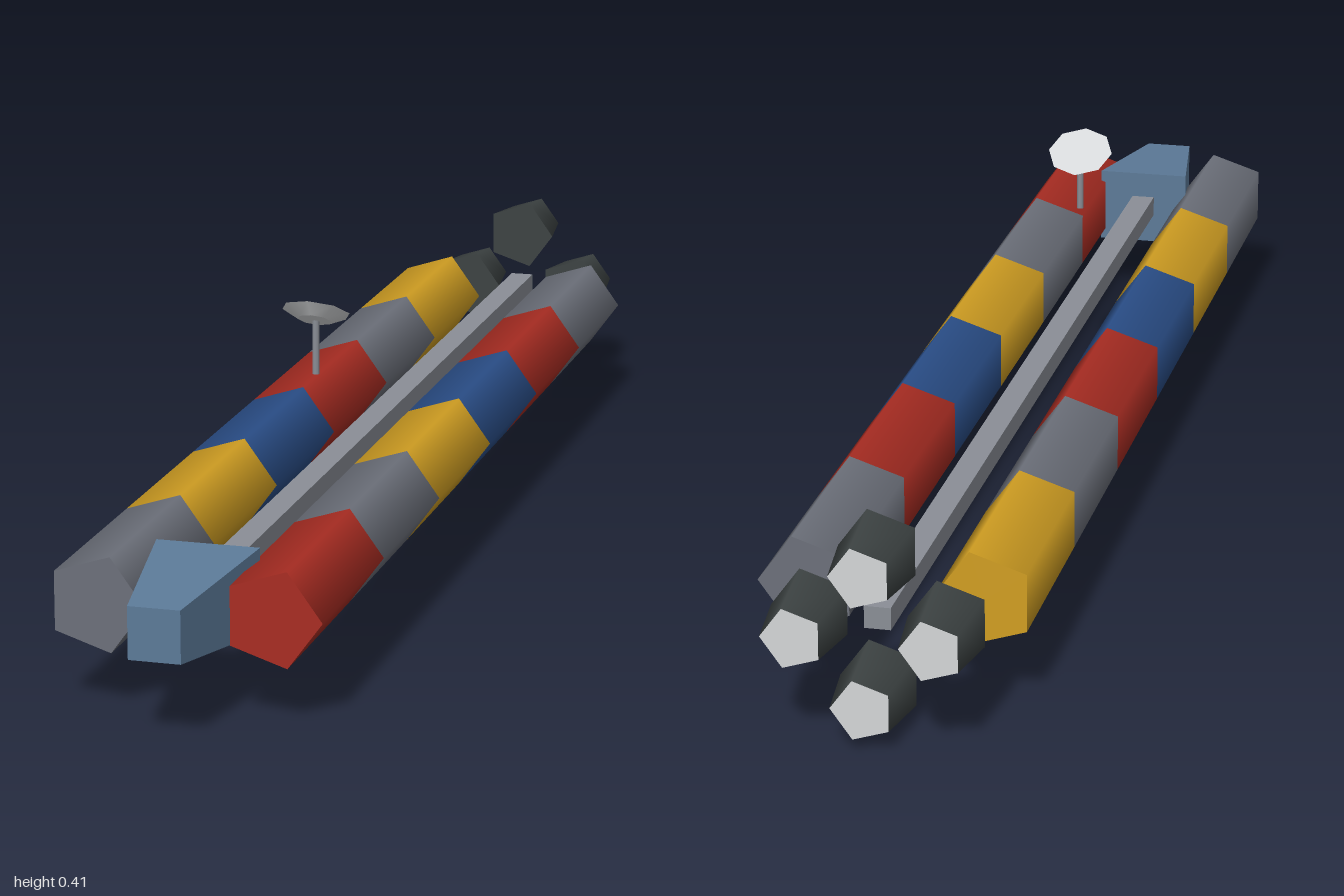
import * as THREE from 'three';

const mat = (name, color) => {
  const m = new THREE.MeshStandardMaterial({ color });
  m.name = name;
  return m;
};

export function createModel() {
  const ship = new THREE.Group();
  ship.name = 'cargoShip';
  const grey = mat('containerGrey', 0x6c707a);
  const red = mat('containerRed', 0xa82c22);
  const yellow = mat('containerYellow', 0xd09e22);
  const blue = mat('containerBlue', 0x2a4e88);
  const hull = mat('cockpitBlue', 0x5c7a98);
  const steel = mat('spineSteel', 0x8a8e96);
  const dark = mat('engineDark', 0x3c4242);
  const pale = mat('paleGrey', 0xd4d6d8);

  const CX = -0.0075, CY = 0.143; // ship axis

  const add = (name, geo, material, x, y, z) => {
    const mesh = new THREE.Mesh(geo, material);
    mesh.name = name;
    mesh.position.set(x, y, z);
    ship.add(mesh);
    return mesh;
  };

  // five-sided prism along z with one corner towards +x
  const prism = (rFront, rBack, length) =>
    new THREE.CylinderGeometry(rFront, rBack, length, 5, 1, false, Math.PI / 2).rotateX(Math.PI / 2);

  // two rows of cargo containers, listed from back to front
  const rows = [
    ['rightContainer', -0.124, [yellow, grey, red, blue, yellow, grey]],
    ['leftContainer', 0.109, [grey, red, blue, yellow, grey, red]],
  ];
  const start = -0.826, step = 0.2855;
  for (const [name, x, colours] of rows) {
    colours.forEach((c, i) =>
      add(name + (i + 1), prism(0.067, 0.067, step), c, x, CY, start + step * (i + 0.5)));
  }

  // central spine
  add('spine', new THREE.BoxGeometry(0.035, 0.03, 1.72), steel, CX, 0.147, -0.06);

  // cockpit: box tapering towards the front
  const cockpit = new THREE.BoxGeometry(0.139, 0.114, 0.22);
  const p = cockpit.attributes.position;
  for (let i = 0; i < p.count; i++) {
    if (p.getZ(i) > 0) p.setXY(i, Math.sign(p.getX(i)) * 0.0345, Math.sign(p.getY(i)) * 0.035 + 0.004);
  }
  cockpit.computeVertexNormals();
  add('cockpit', cockpit, hull, CX, 0.144, 0.89);

  // four engines around the axis, with pale exhaust faces
  for (const [dx, dy] of [[0, 1], [0, -1], [1, 0], [-1, 0]]) {
    add('engine', prism(0.055, 0.042, 0.1), [dark, dark, pale],
      CX + dx * 0.089, 0.144 + dy * 0.089, -0.95);
  }

  // dish antenna tilted up and back
  add('antennaMast', new THREE.CylinderGeometry(0.005, 0.005, 0.078, 8), steel, CX, 0.339, 0.29);
  const dish = add('antennaDish', new THREE.CylinderGeometry(0.048, 0.024, 0.013, 8, 1, false, Math.PI / 2),
    pale, CX, 0.383, 0.292);
  dish.rotation.x = -Math.PI / 6;

  return ship;
}
